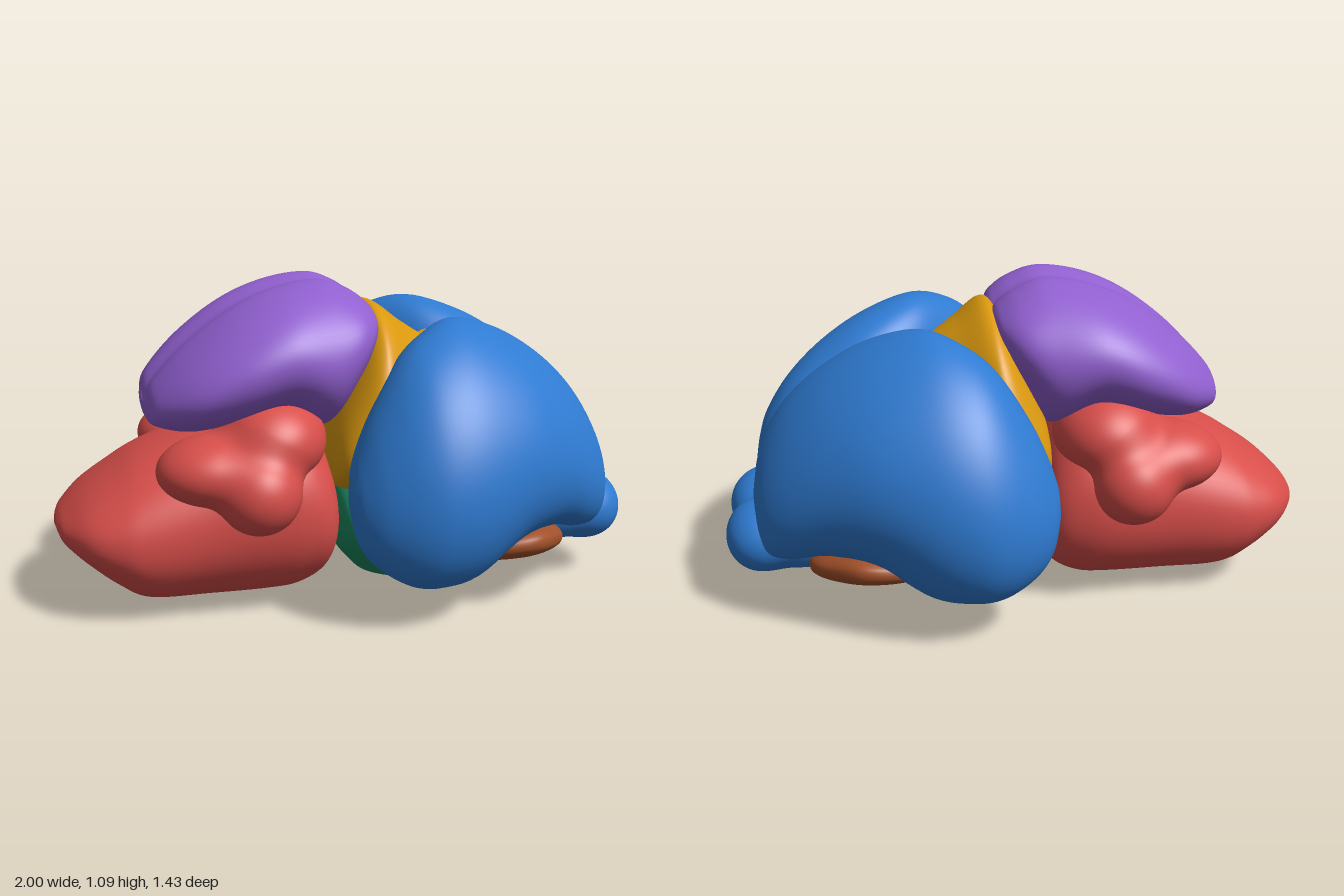
import * as THREE from 'three';
import { mergeVertices } from 'three/addons/utils/BufferGeometryUtils.js';

const mat = (name, color) => new THREE.MeshStandardMaterial({ name, color });

// Smooth closed body from cross-sections [x, yLow, yHigh, zInner, zOuter] along x.
// shear leans the section, groove dents the top (+) or bottom (-) midline,
// bend lifts the sides, minZ flattens the medial face.
function loft(sections, { n = 2, shear = 0, groove = 0, bend = 0, minZ = -Infinity } = {}) {
  const rows = 60, cols = 72;
  const curveOf = f => new THREE.CatmullRomCurve3(sections.map(f), false, 'catmullrom', 0.5);
  const heights = curveOf(s => new THREE.Vector3(s[0], s[1], s[2]));
  const widths = curveOf(s => new THREE.Vector3(s[0], s[3], s[4]));
  const pow = v => Math.sign(v) * Math.abs(v) ** (2 / n);
  const pos = [], index = [];
  for (let i = 0; i <= rows; i++) {
    const t = i / rows;
    const { x, y: lo, z: hi } = heights.getPoint(t);
    const { y: zi, z: zo } = widths.getPoint(t);
    for (let j = 0; j < cols; j++) {
      const a = (j / cols) * Math.PI * 2;
      const dy = pow(Math.sin(a)) * (hi - lo) / 2;
      const lean = shear * dy * (1 + dy);
      const z = Math.max(minZ, (zi + zo) / 2 + pow(Math.cos(a)) * (zo - zi) / 2 - lean);
      let y = (lo + hi) / 2 + dy + bend * Math.max(0, Math.abs(z) - 0.2);
      if (groove * dy > 0) y -= groove * Math.exp(-((z / 0.06) ** 2));
      pos.push(x, y, z);
    }
  }
  for (let i = 0; i < rows; i++) {
    for (let j = 0; j < cols; j++) {
      const k = (j + 1) % cols;
      const a = i * cols + j, b = a + cols, c = (i + 1) * cols + k, d = i * cols + k;
      index.push(a, b, c, a, c, d);
    }
  }
  // rounded end points
  [[0, -0.007], [rows, 0.007]].forEach(([row, out]) => {
    const s = sections[row ? sections.length - 1 : 0];
    const pole = pos.length / 3;
    pos.push(s[0] + out, (s[1] + s[2]) / 2, (s[3] + s[4]) / 2);
    for (let j = 0; j < cols; j++) {
      const a = row * cols + j, b = row * cols + (j + 1) % cols;
      index.push(...(row ? [a, pole, b] : [pole, a, b]));
    }
  });
  const geo = new THREE.BufferGeometry();
  geo.setAttribute('position', new THREE.Float32BufferAttribute(pos, 3));
  geo.setIndex(index);
  geo.computeVertexNormals();
  return geo;
}

// Sections that are the same on both sides of the midline: [x, yLow, yHigh, zHalf]
const symmetric = list => list.map(([x, lo, hi, z]) => [x, lo, hi, -z, z]);

// Copy of a geometry on the other side of the midline
function mirrorZ(geo) {
  const g = geo.clone().scale(1, 1, -1);
  const ix = g.index.array;
  for (let i = 0; i < ix.length; i += 3) [ix[i], ix[i + 1]] = [ix[i + 1], ix[i]];
  g.computeVertexNormals();
  return g;
}

// Skin wrapped around softly blended ellipsoids [cx, cy, cz, rx, ry, rz], kept on the +z side
function blendedSkin(lobes, origin, soft) {
  const distance = p => {
    let d = Infinity;
    for (const [cx, cy, cz, rx, ry, rz] of lobes) {
      const x = p.x - cx, y = p.y - cy, z = p.z - cz;
      const k0 = Math.hypot(x / rx, y / ry, z / rz);
      const k1 = Math.hypot(x / rx ** 2, y / ry ** 2, z / rz ** 2) || 1;
      const e = k0 * (k0 - 1) / k1;
      if (d === Infinity) { d = e; continue; }
      const h = Math.max(0, soft - Math.abs(d - e)) / soft;
      d = Math.min(d, e) - h * h * soft / 4;
    }
    return d;
  };
  let geo = new THREE.SphereGeometry(1, 96, 64);
  geo.deleteAttribute('uv');
  geo.deleteAttribute('normal');
  geo = mergeVertices(geo, 1e-5);
  const pos = geo.attributes.position;
  const dir = new THREE.Vector3(), p = new THREE.Vector3();
  for (let i = 0; i < pos.count; i++) {
    dir.fromBufferAttribute(pos, i).normalize();
    let t = 0.7;
    for (let k = 0; k < 70; k++) {
      p.copy(origin).addScaledVector(dir, t);
      const d = distance(p);
      if (d < 0.0005) break;
      t = Math.max(0.02, t - d * 0.7);
    }
    pos.setXYZ(i, p.x, p.y, Math.max(0.001, p.z));
  }
  geo.computeVertexNormals();
  return geo;
}

export function createModel() {
  const model = new THREE.Group();
  const blue = mat('blue', 0x2f7bd2), purple = mat('purple', 0x9160d0), red = mat('red', 0xd74e4a);
  const amber = mat('amber', 0xdb990f), green = mat('green', 0x1c8a60), brown = mat('brown', 0xa2512a);
  const add = (name, geo, material) => {
    const mesh = new THREE.Mesh(geo, material);
    mesh.name = name;
    model.add(mesh);
  };
  const addPair = (name, geo, material) => {
    add('left' + name, geo, material);
    add('right' + name, mirrorZ(geo), material);
  };

  // Paired cerebral hemispheres
  addPair('Hemisphere', loft([
    [-0.085, 0.36, 0.49, 0.43, 0.52], [-0.06, 0.27, 0.57, 0.37, 0.57], [0, 0.2, 0.7, 0.32, 0.63],
    [0.1, 0.14, 0.85, 0.25, 0.685], [0.2, 0.12, 0.925, 0.17, 0.705], [0.33, 0.125, 0.96, 0.05, 0.685],
    [0.5, 0.21, 0.91, -0.05, 0.615], [0.65, 0.23, 0.82, -0.06, 0.525], [0.77, 0.2, 0.71, -0.06, 0.44],
    [0.85, 0.2, 0.59, -0.04, 0.36], [0.88, 0.25, 0.5, 0, 0.29], [0.893, 0.33, 0.43, 0.05, 0.21],
  ], { shear: 0.2, minZ: 0.001 }), blue);

  // Olfactory bulbs and their stalks at the front tip
  addPair('OlfactoryBulb', blendedSkin([
    [0.88, 0.238, 0.14, 0.118, 0.122, 0.15], [0.74, 0.25, 0.15, 0.2, 0.125, 0.15],
  ], new THREE.Vector3(0.81, 0.245, 0.143), 0.05), blue);

  // Grooved midbrain roof
  add('midbrainRoof', loft(symmetric([
    [-0.685, 0.64, 0.72, 0.12], [-0.66, 0.61, 0.78, 0.23], [-0.55, 0.59, 0.895, 0.35],
    [-0.4, 0.61, 1.005, 0.405], [-0.25, 0.64, 1.07, 0.412], [-0.1, 0.58, 1.095, 0.392],
    [0, 0.72, 1.06, 0.345], [0.06, 0.84, 1.015, 0.26], [0.083, 0.91, 0.985, 0.16],
  ]), { groove: 0.033 }), purple);

  // Wedge between the roof and the hemispheres, with a small gland on top
  add('betweenBrain', loft(symmetric([
    [-0.1, 0.42, 0.58, 0.25], [-0.075, 0.38, 0.68, 0.36], [0, 0.34, 0.86, 0.4], [0.06, 0.33, 0.97, 0.4],
    [0.11, 0.33, 0.99, 0.37], [0.2, 0.33, 0.925, 0.3], [0.3, 0.35, 0.86, 0.2], [0.4, 0.4, 0.81, 0.1],
    [0.46, 0.5, 0.77, 0.04],
  ]), { n: 2.2 }), amber);
  add('pinealGland', new THREE.SphereGeometry(1, 32, 24).scale(0.05, 0.03, 0.025).translate(0.32, 0.85, 0), amber);

  // Hindbrain tapering to the rear, grooved below
  add('hindbrain', loft(symmetric([
    [-0.993, 0.26, 0.305, 0.09], [-0.97, 0.225, 0.335, 0.18], [-0.9, 0.16, 0.4, 0.29],
    [-0.8, 0.075, 0.47, 0.345], [-0.7, 0.02, 0.53, 0.362], [-0.5, 0.01, 0.61, 0.37],
    [-0.3, 0.01, 0.67, 0.39], [-0.2, 0.02, 0.67, 0.385], [-0.12, 0.065, 0.58, 0.355],
    [-0.08, 0.14, 0.47, 0.29], [-0.068, 0.22, 0.39, 0.19],
  ]), { n: 2.15, groove: -0.03 }), red);

  // Side lobes and upper folds of the hindbrain
  addPair('HindbrainLobe', blendedSkin([
    [-0.48, 0.5, 0.26, 0.2, 0.12, 0.17], [-0.36, 0.44, 0.35, 0.14, 0.14, 0.145],
    [-0.29, 0.58, 0.21, 0.18, 0.15, 0.21],
  ], new THREE.Vector3(-0.37, 0.5, 0.27), 0.05), red);

  // Underside swellings
  add('lowerBrain', loft(symmetric([
    [-0.07, 0.24, 0.33, 0.22], [-0.05, 0.16, 0.4, 0.33], [0, 0.09, 0.44, 0.37], [0.06, 0.04, 0.43, 0.35],
    [0.2, -0.005, 0.36, 0.285], [0.3, -0.01, 0.28, 0.255], [0.4, 0.015, 0.22, 0.23], [0.48, 0.07, 0.16, 0.17],
  ]), { n: 2.15, groove: -0.02 }), green);
  add('olfactoryTubercle', loft(symmetric([
    [0.31, 0.13, 0.18, 0.36], [0.36, 0.1, 0.21, 0.46], [0.45, 0.09, 0.24, 0.515], [0.56, 0.09, 0.255, 0.51],
    [0.66, 0.1, 0.235, 0.42], [0.71, 0.12, 0.21, 0.34], [0.725, 0.145, 0.185, 0.24],
  ]), { n: 2.5, bend: 0.2, groove: -0.035 }), brown);

  return model;
}
